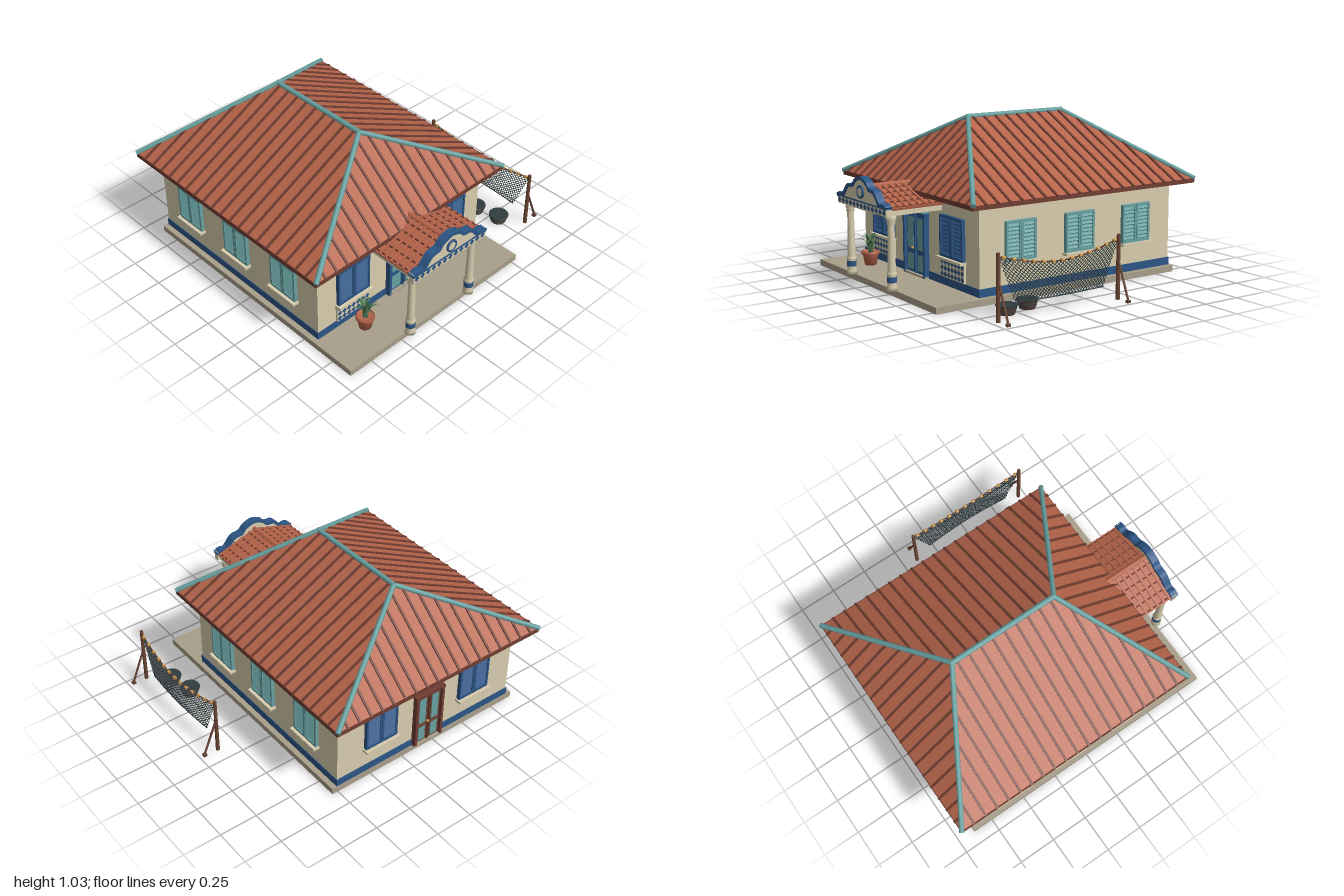
import * as THREE from 'three';
import { mergeGeometries } from 'three/addons/utils/BufferGeometryUtils.js';

const mat = (name, color, extra = {}) => Object.assign(new THREE.MeshStandardMaterial({ color, ...extra }), { name });
const V = (x, y, z) => new THREE.Vector3(x, y, z);

export function createModel() {
  const plaster = mat('plaster', 0xd8ccae), blue = mat('blue paint', 0x2c5585), teal = mat('teal paint', 0x68a0a0);
  const tile = mat('terracotta', 0xb5644a), darkTile = mat('dark terracotta', 0x713d31), stone = mat('stone', 0xa89e8a);
  const wood = mat('wood', 0x6b4535), dark = mat('dark cord', 0x303c3e), gold = mat('cork and brass', 0xd09a50);
  const leaf = mat('leaf', 0x4a7350, { side: THREE.DoubleSide });

  const add = (p, name, geo, m, x = 0, y = 0, z = 0) => {
    const o = new THREE.Mesh(geo, m);
    o.name = name;
    o.position.set(x, y, z);
    p.add(o);
    return o;
  };
  const box = (p, name, m, w, h, d, x, y, z) => add(p, name, new THREE.BoxGeometry(w, h, d), m, x, y, z);
  // Box given by its bounds
  const span = (p, name, m, x0, x1, y0, y1, z0, z1) =>
    box(p, name, m, x1 - x0, y1 - y0, z1 - z0, (x0 + x1) / 2, (y0 + y1) / 2, (z0 + z1) / 2);
  // Rectangular or round bar between two points
  const bar = (p, name, m, a, b, w, h) => {
    const len = a.distanceTo(b);
    const geo = h ? new THREE.BoxGeometry(w, h, len) : new THREE.CylinderGeometry(w, w, len, 10).rotateX(Math.PI / 2);
    const o = new THREE.Mesh(geo, m);
    o.name = name;
    o.position.copy(a).lerp(b, 0.5);
    o.lookAt(b);
    p.add(o);
  };
  const group = (p, name, x = 0, y = 0, z = 0, ry = 0) => {
    const g = new THREE.Group();
    g.name = name;
    g.position.set(x, y, z);
    g.rotation.y = ry;
    p.add(g);
    return g;
  };
  const diamond = (p, r, x, y, z) => add(p, 'tileDiamond', new THREE.CircleGeometry(r, 4), blue, x, y, z);

  const model = new THREE.Group();
  model.name = 'coastalHouse';
  const house = group(model, 'house', -0.19);

  // Base and walls
  span(house, 'baseSlab', stone, -0.73, 0.73, 0, 0.04, -0.885, 0.905);
  span(house, 'walls', plaster, -0.69, 0.69, 0.04, 0.59, -0.875, 0.585);
  span(house, 'wallBand', blue, -0.695, 0.695, 0.04, 0.09, -0.88, 0.59);

  // Hipped roof
  const roof = group(house, 'roof', 0, 0, -0.155);
  const W = 0.79, L = 0.845, R = 0.365, E = 0.605, T = 1.01;
  box(roof, 'eavesFascia', darkTile, 2 * W, 0.028, 2 * L, 0, 0.594, 0);
  const c = [[-W, E, L], [W, E, L], [W, E, -L], [-W, E, -L], [0, T, R], [0, T, -R]];
  const hip = new THREE.BufferGeometry();
  hip.setAttribute('position', new THREE.Float32BufferAttribute(
    [0, 1, 4, 1, 2, 5, 1, 5, 4, 2, 3, 5, 3, 0, 4, 3, 4, 5].flatMap(i => c[i]), 3));
  hip.computeVertexNormals();
  add(roof, 'roofSlopes', hip, tile);
  for (const s of [-1, 1]) {
    for (let i = -9; i <= 9; i++) {
      const o = i * 0.084, t = Math.min(1, (L - Math.abs(o)) / (L - R));
      bar(roof, 'roofRib', darkTile, V(s * W, E, o), V(s * W * (1 - t), E + t * (T - E), o), 0.015, 0.016);
    }
    for (let i = -9; i < 9; i++) {
      const o = (i + 0.5) * 0.084, t = 1 - Math.abs(o) / W;
      bar(roof, 'roofRib', darkTile, V(o, E, s * L), V(o, E + t * (T - E), s * (L - t * (L - R))), 0.015, 0.016);
    }
    for (const q of [-1, 1]) bar(roof, 'hipCap', teal, V(s * W, E + 0.003, q * L), V(0, T, q * R), 0.016);
  }
  bar(roof, 'ridgeCap', teal, V(0, T, R + 0.01), V(0, T, -R - 0.01), 0.017);

  // Louvred shutters, built facing +z from the wall surface
  const shutters = (x, y, z, ry, w, h, m) => {
    const g = group(house, 'shutteredWindow', x, y, z, ry), lw = w / 2 - 0.002;
    box(g, 'sill', plaster, w + 0.02, 0.016, 0.045, 0, -0.008, 0.0225);
    for (const s of [-1, 1]) {
      const cx = s * w / 4;
      box(g, 'shutterBack', m, lw, h, 0.01, cx, h / 2, 0.005);
      for (const q of [-1, 1]) {
        box(g, 'stile', m, 0.013, h, 0.024, cx + q * (lw / 2 - 0.0065), h / 2, 0.012);
        box(g, 'rail', m, lw, 0.016, 0.024, cx, h / 2 + q * (h / 2 - 0.008), 0.012);
      }
      for (let i = 0; i < 9; i++)
        box(g, 'louvre', m, lw - 0.024, 0.017, 0.006, cx, 0.028 + i * (h - 0.056) / 8, 0.015).rotation.x = -0.6;
    }
  };
  for (const s of [-1, 1]) {
    shutters(s * 0.415, 0.222, 0.585, 0, 0.255, 0.256, blue);
    shutters(s * 0.37, 0.23, -0.875, Math.PI, 0.24, 0.245, blue);
    for (const z of [0.3, -0.14, -0.585]) shutters(s * 0.69, 0.23, z, s * Math.PI / 2, 0.22, 0.245, teal);
    // Tiled panel under each front window
    const p = group(house, 'tilePanel', s * 0.415, 0.15, 0.585);
    box(p, 'panelPlate', plaster, 0.265, 0.114, 0.014, 0, 0, 0.007);
    for (let r = -1; r <= 1; r++) for (let k = 0; k < 7; k++) diamond(p, 0.0185, (k - 3) * 0.0375, r * 0.038, 0.0148);
  }

  // Glazed double doors
  const door = (name, z, ry, w, h, leafMat, frameMat) => {
    const g = group(house, name, 0, 0.04, z, ry);
    box(g, 'doorLeaves', leafMat, w, h, 0.014, 0, h / 2, 0.007);
    box(g, 'doorHead', frameMat, w + 0.01, 0.02, 0.035, 0, h - 0.01, 0.0175);
    box(g, 'threshold', stone, w, 0.012, 0.035, 0, 0.006, 0.0175);
    box(g, 'meetingStile', frameMat, 0.006, h, 0.026, 0, h / 2, 0.013);
    for (const s of [-1, 1]) {
      box(g, 'doorJamb', frameMat, 0.018, h, 0.035, s * (w / 2 - 0.009), h / 2, 0.0175);
      const x = s * (w / 4 - 0.006), pw = w / 2 - 0.058;
      for (const [y0, y1] of [[0.03, 0.13], [0.165, h - 0.045]]) {
        box(g, 'doorSurround', leafMat, pw + 0.016, y1 - y0 + 0.016, 0.006, x, (y0 + y1) / 2, 0.016);
        box(g, 'doorPane', teal, pw, y1 - y0, 0.006, x, (y0 + y1) / 2, 0.018);
      }
    }
    add(g, 'doorKnob', new THREE.SphereGeometry(0.009, 12, 8), gold, -0.016, 0.175, 0.034);
  };
  door('frontDoor', 0.585, 0, 0.26, 0.41, blue, blue);
  door('backDoor', -0.875, Math.PI, 0.22, 0.4, wood, darkTile);
  span(house, 'doorCanopy', teal, -0.14, 0.14, 0.462, 0.484, 0.585, 0.645);
  span(house, 'canopyTrim', teal, -0.13, 0.13, 0.45, 0.462, 0.585, 0.63);

  // Porch columns and beams
  const porch = group(house, 'porch');
  const columnProfile = [[0, 0.04], [0.033, 0.04], [0.033, 0.065], [0.028, 0.07], [0.028, 0.135], [0.032, 0.14], [0.031, 0.15],
    [0.025, 0.158], [0.021, 0.44], [0.028, 0.446], [0.024, 0.455], [0.032, 0.475], [0.032, 0.5], [0, 0.5]].map(a => new THREE.Vector2(...a));
  for (const s of [-1, 1]) {
    add(porch, 'column', new THREE.LatheGeometry(columnProfile, 20), plaster, s * 0.255, 0, 0.92);
    add(porch, 'columnBand', new THREE.CylinderGeometry(0.03, 0.03, 0.035, 20), blue, s * 0.255, 0.11, 0.92);
    span(porch, 'sideBeam', plaster, s * 0.255 - 0.03, s * 0.255 + 0.03, 0.497, 0.532, 0.58, 0.95);
    // Tiled porch roof
    const at = (t, z, lift = 0) => V(s * 0.3 * (1 - t), 0.538 + 0.092 * t + lift, z);
    bar(porch, 'porchRoofSlope', tile, at(0, 0.77), at(1, 0.77), 0.36, 0.014);
    for (let i = 0; i < 8; i++) bar(porch, 'porchRib', tile, at(0, 0.61 + i * 0.045, 0.008), at(1, 0.61 + i * 0.045, 0.008), 0.016, 0.014);
    for (let i = 0; i < 5; i++) bar(porch, 'porchCourse', darkTile, at(i / 5 + 0.04, 0.59, 0.009), at(i / 5 + 0.04, 0.945, 0.009), 0.008, 0.009);
  }
  bar(porch, 'porchRidge', tile, V(0, 0.635, 0.6), V(0, 0.635, 0.945), 0.017);

  // Curved parapet with blue coping, tile frieze and medallion
  span(porch, 'frontBeam', plaster, -0.305, 0.305, 0.497, 0.56, 0.94, 0.978);
  const half = [[0.31, 0.556], [0.27, 0.572], [0.235, 0.568], [0.2, 0.605], [0.165, 0.636], [0.105, 0.645], [0.07, 0.678], [0, 0.7]];
  const crest = new THREE.SplineCurve([...half, ...half.slice(0, -1).reverse().map(([x, y]) => [-x, y])]
    .map(a => new THREE.Vector2(...a))).getPoints(60);
  const inner = crest.map(v => new THREE.Vector2(v.x * 0.95, v.y - 0.02));
  const extrude = (pts, depth) => new THREE.ExtrudeGeometry(new THREE.Shape(pts), { depth, bevelEnabled: false });
  add(porch, 'parapet', extrude([...inner, new THREE.Vector2(-0.295, 0.52), new THREE.Vector2(0.295, 0.52)], 0.036), plaster, 0, 0, 0.942);
  add(porch, 'parapetCoping', extrude([...crest, ...inner.slice().reverse()], 0.05), blue, 0, 0, 0.937);
  span(porch, 'friezeStrip', blue, -0.308, 0.308, 0.542, 0.55, 0.94, 0.984);
  for (let i = -6; i <= 6; i++) diamond(porch, 0.02, i * 0.0465, 0.52, 0.9795);
  add(porch, 'medallionRing', new THREE.TorusGeometry(0.034, 0.008, 8, 28), blue, 0, 0.607, 0.984);
  add(porch, 'medallionDisc', new THREE.CylinderGeometry(0.03, 0.03, 0.014, 24).rotateX(Math.PI / 2), plaster, 0, 0.607, 0.981);

  // Potted plant
  const plant = group(model, 'pottedPlant', -0.605, 0.04, 0.7);
  const pot = [[0, 0], [0.038, 0], [0.05, 0.07], [0.058, 0.07], [0.058, 0.09], [0.048, 0.09], [0.046, 0.08], [0, 0.08]];
  add(plant, 'pot', new THREE.LatheGeometry(pot.map(a => new THREE.Vector2(...a)), 20), tile);
  for (let i = 0; i < 14; i++) {
    const blade = new THREE.PlaneGeometry(0.024, 1, 1, 5), p = blade.attributes.position;
    const spread = i % 2 ? 0.08 : 0.05, tall = i % 2 ? 0.095 : 0.125;
    for (let k = 0; k < p.count; k++) {
      const t = p.getY(k) + 0.5;
      p.setXYZ(k, p.getX(k) * (1 - t * t) , tall * Math.sin(t * 2), spread * t * t + 0.01);
    }
    blade.computeVertexNormals();
    add(plant, 'leafBlade', blade, leaf, 0, 0.075, 0).rotation.y = i * 2.4;
  }

  // Fishing net drying between two braced posts
  const rack = group(model, 'netRack');
  for (const z of [0.705, -0.15]) {
    add(rack, 'netPost', new THREE.CylinderGeometry(0.011, 0.013, 0.395, 10), wood, 0.87, 0.1975, z);
    bar(rack, 'postBrace', wood, V(0.872, 0.24, z), V(0.968, 0.01, z), 0.007);
    box(rack, 'bracePeg', wood, 0.022, 0.016, 0.024, 0.966, 0.008, z);
  }
  const net = (u, v) => {
    const sag = Math.sin(Math.PI * u), top = 0.372 - 0.07 * sag;
    return V(0.87 + 0.022 * sag * (1 - 0.3 * v), top + v * (0.095 - top), 0.2775 + (0.5 - u) * 0.855 * (1 - 0.26 * v));
  };
  const tube = (pts, r, n) => new THREE.TubeGeometry(new THREE.CatmullRomCurve3(pts), n, r, 5);
  const nu = 30, nv = 10, strands = [];
  for (let k = 1 - nv; k < nu; k++) {
    const steps = [];
    for (let j = 0; j <= nv; j++) if (k + j >= 0 && k + j <= nu) steps.push([(k + j) / nu, j / nv]);
    if (steps.length < 2) continue;
    strands.push(tube(steps.map(([u, v]) => net(u, v)), 0.0022, steps.length));
    strands.push(tube(steps.map(([u, v]) => net(1 - u, v)), 0.0022, steps.length));
  }
  const edge = Array.from({ length: 21 }, (_, i) => i / 20);
  strands.push(tube(edge.map(u => net(u, 1)), 0.003, 30));
  add(rack, 'netMesh', mergeGeometries(strands), dark);
  add(rack, 'headRope', tube(edge.map(u => net(u, 0)), 0.004, 40), wood);
  for (let i = 0; i < 13; i++) {
    const u = (i + 0.5) / 13;
    bar(rack, 'netFloat', gold, net(u - 0.012, 0), net(u + 0.012, 0), 0.01);
  }

  // Baskets heaped with cord
  for (const [x, z] of [[0.72, 0.4], [0.755, 0.57]]) {
    const b = group(model, 'basket', x, 0, z);
    add(b, 'basketBody', new THREE.CylinderGeometry(0.062, 0.045, 0.056, 20), wood, 0, 0.028, 0);
    for (let i = 0; i < 4; i++)
      add(b, 'basketWeave', new THREE.TorusGeometry(0.048 + i * 0.0045, 0.003, 6, 24).rotateX(Math.PI / 2), dark, 0, 0.008 + i * 0.014, 0);
    add(b, 'basketRim', new THREE.TorusGeometry(0.061, 0.004, 6, 24).rotateX(Math.PI / 2), dark, 0, 0.056, 0);
    add(b, 'basketFill', new THREE.CylinderGeometry(0.06, 0.06, 0.006, 20), dark, 0, 0.057, 0);
  }
  return model;
}
